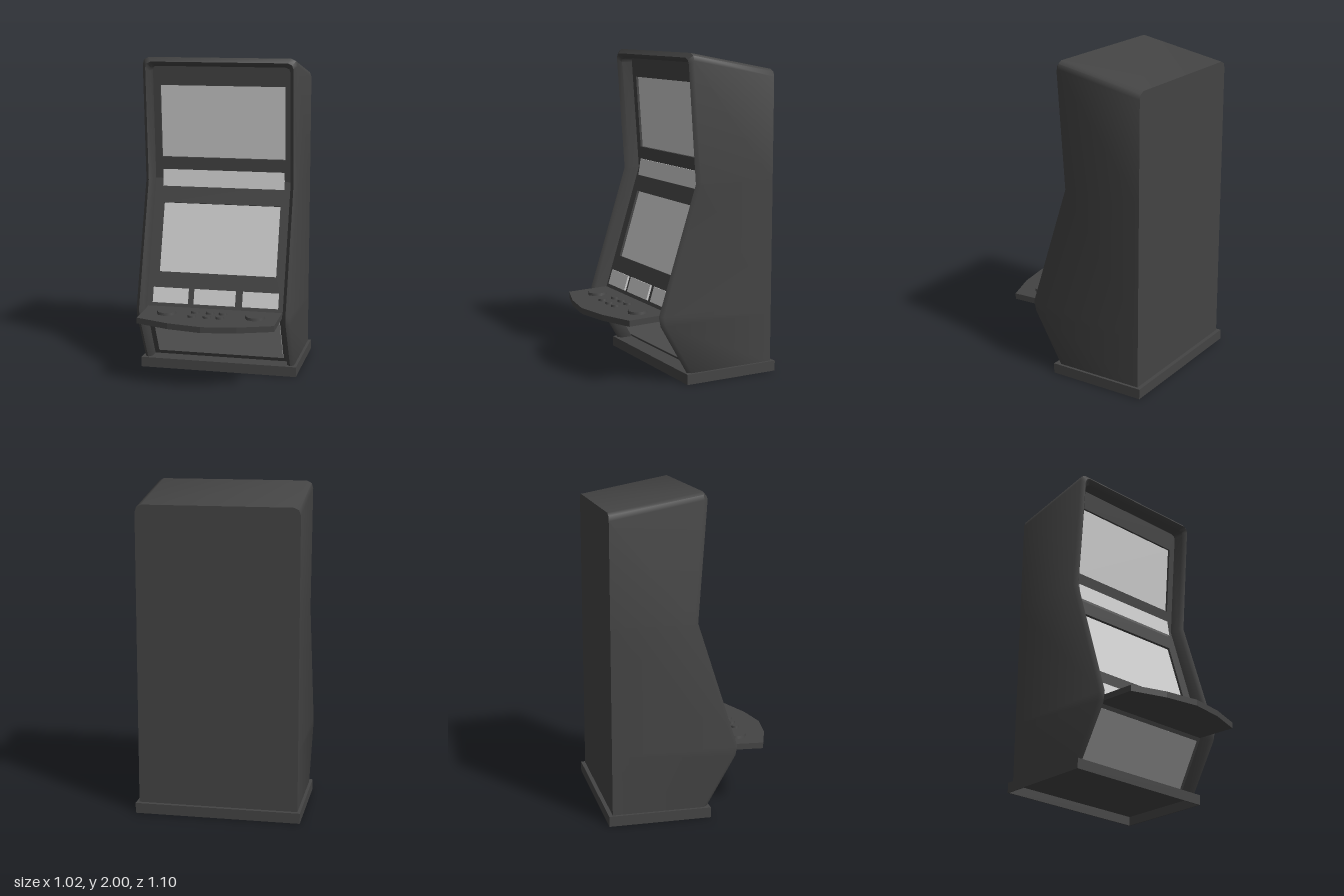
import * as THREE from 'three';
import { toCreasedNormals } from 'three/addons/utils/BufferGeometryUtils.js';

const dark = new THREE.MeshStandardMaterial({ color: 0x444444 });
const glass = new THREE.MeshStandardMaterial({ color: 0xcccccc });
const dim = new THREE.MeshStandardMaterial({ color: 0x999999 });

// front edge of the side walls: [y, z]
const PROFILE = [[0.06, 0.067], [0.375, 0.25], [0.435, 0.262], [1.22, 0.01], [2, 0.067]];
function frontZ(y) {
  let i = 0;
  while (i < PROFILE.length - 2 && y > PROFILE[i + 1][0]) i++;
  const [a, b] = [PROFILE[i], PROFILE[i + 1]];
  return a[1] + (b[1] - a[1]) * (y - a[0]) / (b[0] - a[0]);
}

function add(parent, name, geometry, material, x = 0, y = 0, z = 0) {
  const mesh = new THREE.Mesh(geometry, material);
  mesh.name = name;
  mesh.position.set(x, y, z);
  parent.add(mesh);
  return mesh;
}

// side walls, roof and back, swept as one arch with a bevelled front rim
function shellGeometry() {
  // outer x, outer y, inner x, inner y, drop of the roof towards the back
  const half = PROFILE.slice(0, 4).map(([y]) => [0.49, y, 0.445, y, 0]);
  half.push([0.49, 1.955, 0.445, 1.915, 0.105], [0.48, 1.985, 0.438, 1.936, 0.105],
    [0.45, 2, 0.415, 1.945, 0.105]);
  const arch = [...half, ...half.slice().reverse().map(([a, b, c, d, e]) => [-a, b, -c, d, e])];
  const rings = arch.map(([xo, yo, xi, yi, drop]) => {
    const ym = (yo + yi) / 2, f = frontZ(ym);
    return [[xo, yo - drop, -0.525], [xo, yo, f - 0.025], [(xo + xi) / 2, ym, f],
      [xi, yi, f - 0.025], [xi, yi, f - 0.13]];
  });
  const pos = [];
  for (let i = 0; i < rings.length - 1; i++) {
    for (let j = 0; j < 4; j++) {
      const a = rings[i][j], b = rings[i + 1][j], c = rings[i + 1][j + 1], d = rings[i][j + 1];
      pos.push(...a, ...b, ...c, ...a, ...c, ...d);
    }
    if (i > 0) pos.push(...rings[0][0], ...rings[i + 1][0], ...rings[i][0]);
  }
  const g = new THREE.BufferGeometry();
  g.setAttribute('position', new THREE.Float32BufferAttribute(pos, 3));
  return toCreasedNormals(g, 0.9);
}

// sloped panel between two [z, y] points; windows and tiles are [x0, x1, y0, y1]
function slopedPanel(name, [z0, y0], [z1, y1], windows, tiles, tileName, tileMaterial) {
  const group = new THREE.Group();
  group.name = name;
  group.position.set(0, y0, z0);
  group.rotation.x = Math.atan2(z1 - z0, y1 - y0);
  const length = Math.hypot(z1 - z0, y1 - y0);
  const local = y => (y - y0) * length / (y1 - y0);
  const rect = (Type, a, b, c, d) =>
    new Type([[a, c], [b, c], [b, d], [a, d]].map(p => new THREE.Vector2(...p)));
  const shape = rect(THREE.Shape, -0.446, 0.446, 0, length);
  for (const [a, b, c, d] of windows) {
    shape.holes.push(rect(THREE.Path, a, b, local(c), local(d)));
    add(group, 'screen', new THREE.BoxGeometry(b - a + 0.01, local(d) - local(c) + 0.01, 0.01),
      glass, (a + b) / 2, (local(c) + local(d)) / 2, -0.02);
  }
  add(group, 'panelBoard', new THREE.ExtrudeGeometry(shape, { depth: 0.02, bevelEnabled: false }),
    dark, 0, 0, -0.02);
  for (const [a, b, c, d] of tiles)
    add(group, tileName, new THREE.BoxGeometry(b - a, local(d) - local(c), 0.014),
      tileMaterial, (a + b) / 2, (local(c) + local(d)) / 2, 0.006);
  return group;
}

function makeDeck() {
  const deck = new THREE.Group();
  deck.name = 'buttonDeck';
  deck.position.y = 0.405;
  deck.rotation.x = 0.03;
  const outline = [[-0.43, 0.17], [-0.43, 0.44], [-0.215, 0.515], [0, 0.55],
    [0.215, 0.515], [0.43, 0.44], [0.43, 0.17]];
  const top = new THREE.ExtrudeGeometry(
    new THREE.Shape(outline.map(([x, z]) => new THREE.Vector2(x, -z))),
    { depth: 0.037, bevelEnabled: false });
  top.rotateX(-Math.PI / 2);
  add(deck, 'deckBoard', top, dark);
  for (const x of [-0.273, 0.288])
    add(deck, 'largeButton', new THREE.CylinderGeometry(0.06, 0.064, 0.016, 8), dark, x, 0.045, 0.31);
  for (const x of [-0.1, -0.005, 0.077])
    for (const z of [0.27, 0.357])
      add(deck, 'smallButton', new THREE.CylinderGeometry(0.025, 0.028, 0.013, 8), dark, x, 0.0435, z);
  return deck;
}

function makeBase() {
  const base = new THREE.Group();
  base.name = 'base';
  const zc = -0.2325, w = 1.016, d = 0.635, t = 0.006;
  add(base, 'baseTop', new THREE.BoxGeometry(w, t, d), dark, 0, 0.061, zc);
  for (const s of [-1, 1]) {
    add(base, 'baseSide', new THREE.BoxGeometry(t, 0.064, d), dark, s * (w - t) / 2, 0.032, zc);
    add(base, 'baseEnd', new THREE.BoxGeometry(w, 0.064, t), dark, 0, 0.032, zc + s * (d - t) / 2);
  }
  return base;
}

export function createModel() {
  const model = new THREE.Group();
  model.name = 'gamingCabinet';
  add(model, 'cabinetShell', shellGeometry(), dark);
  model.add(makeBase());

  // recessed front, from top to bottom
  const bend = [-0.085, 1.22], waist = [0.165, 0.42];
  model.add(slopedPanel('upperPanel', bend, [-0.033, 1.95], [[-0.4, 0.4, 1.36, 1.82]], []));
  model.add(slopedPanel('mainPanel', waist, bend, [[-0.38, 0.378, 0.645, 1.07]],
    [[-0.405, -0.177, 0.455, 0.548], [-0.138, 0.128, 0.455, 0.548], [0.175, 0.403, 0.455, 0.548]],
    'infoTile', glass));
  model.add(slopedPanel('lowerPanel', [-0.03, 0.06], waist, [],
    [[-0.41, 0.412, 0.1, 0.385]], 'bellyGlass', dim));

  // lit strip across the bend between the screens
  const strip = add(model, 'middleStrip', new THREE.BoxGeometry(0.785, 0.108, 0.04), glass,
    0.003, 1.225, -0.08);
  strip.rotation.x = -0.15;

  model.add(makeDeck());
  return model;
}
